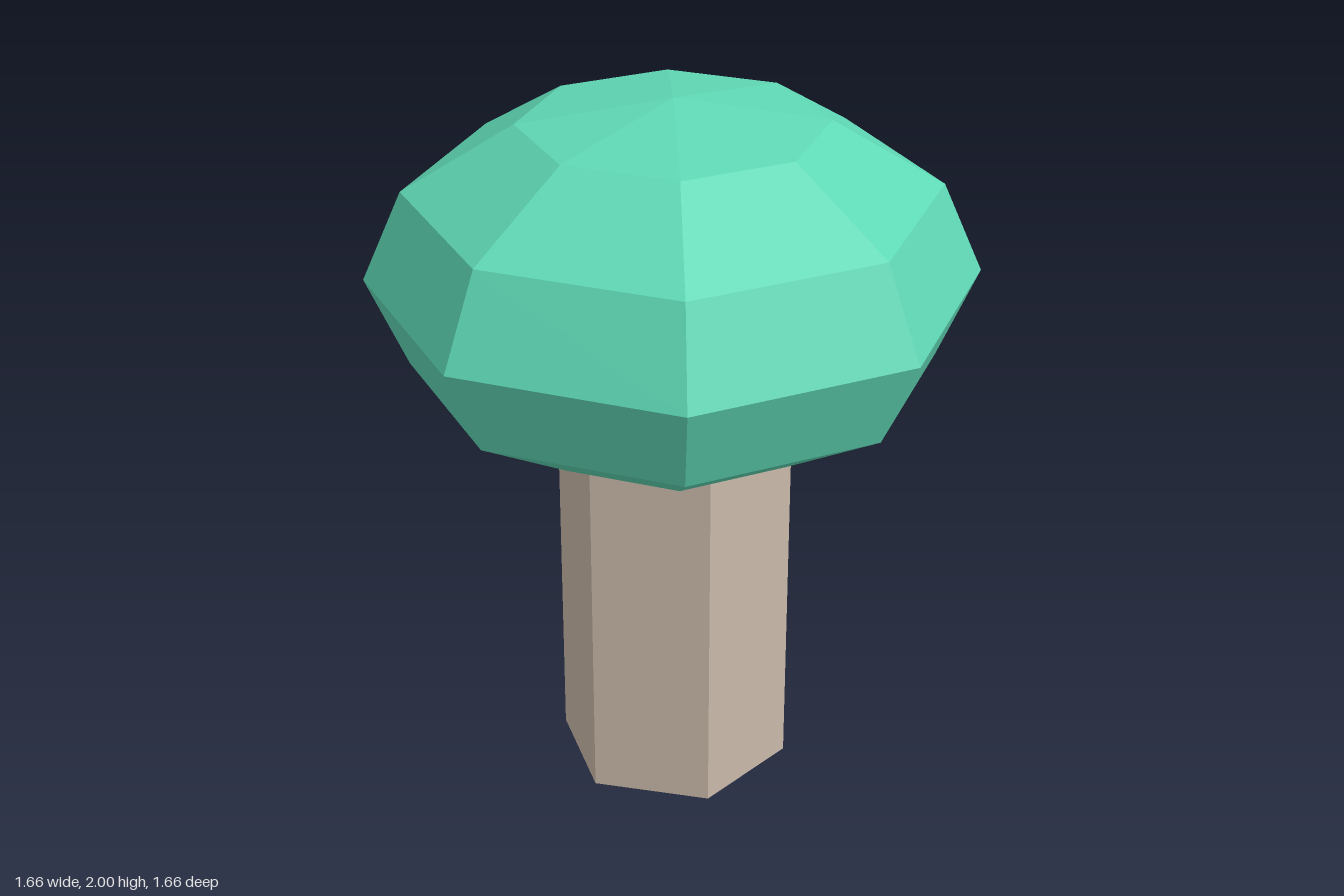
import * as THREE from 'three';

export function createModel() {
  const tree = new THREE.Group();
  tree.name = 'tree';

  const addPart = (name, geometry, color, y) => {
    const material = new THREE.MeshStandardMaterial({ color, flatShading: true });
    const mesh = new THREE.Mesh(geometry, material);
    mesh.name = name;
    mesh.position.y = y;
    tree.add(mesh);
    return mesh;
  };

  // Six-sided trunk, its top tucked into the crown
  const trunkHeight = 1.17;
  addPart('trunk', new THREE.CylinderGeometry(0.333, 0.333, trunkHeight, 6), 0xc8b8a8, trunkHeight / 2);

  // Faceted crown: a coarse sphere flattened in height
  const crown = addPart('crown', new THREE.SphereGeometry(0.83, 8, 6), 0x5fd8b5, 1.5);
  crown.scale.y = 0.5 / 0.83;

  return tree;
}
